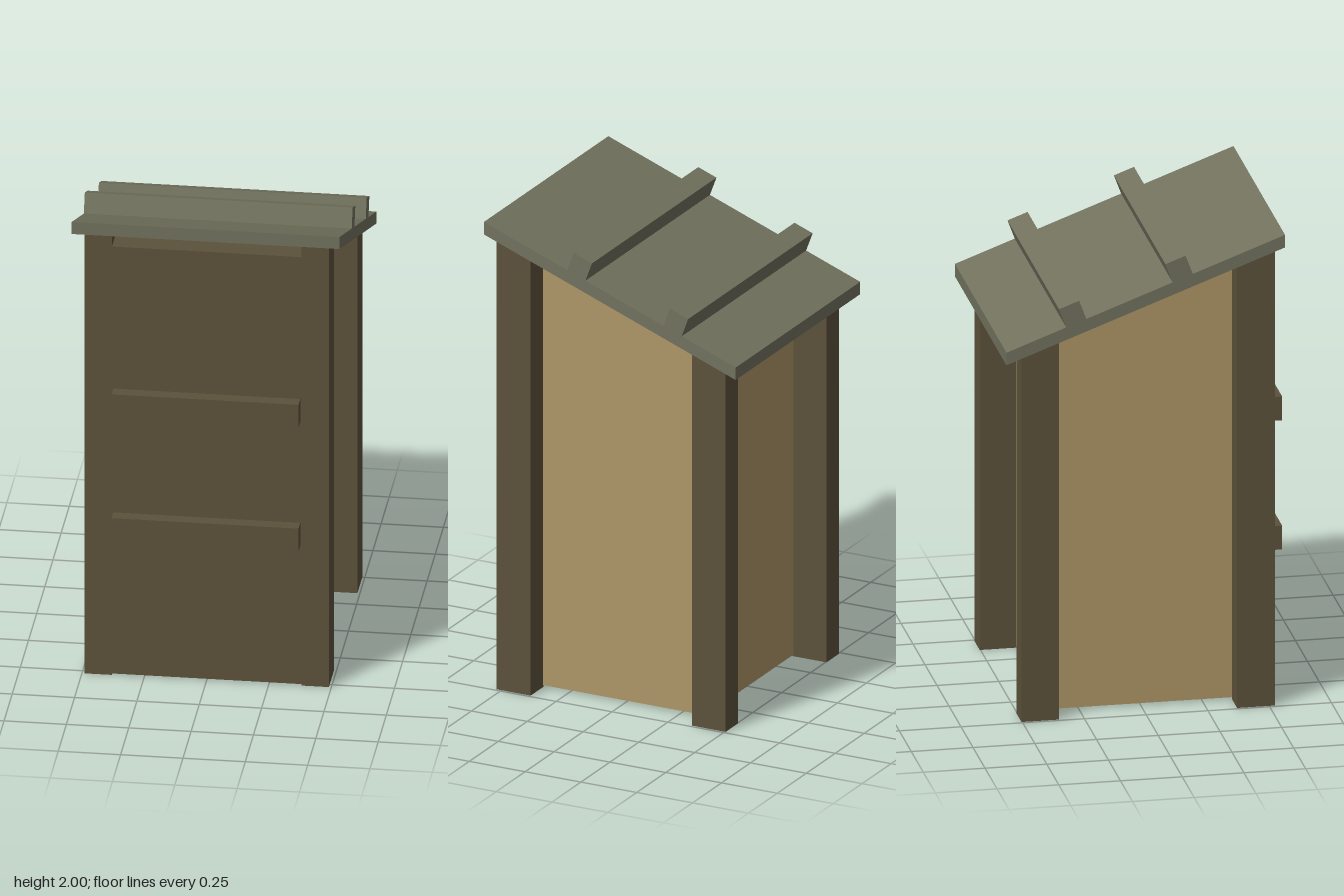
import * as THREE from 'three';

const SLOPE = 0.373;
const FRONT = 0.555, BACK = -0.573;
const THICK = 0.053;
const roofTop = (z) => 2 - SLOPE * (FRONT - z);
const roofUnder = (z) => roofTop(z) - THICK;

export function createModel() {
  const model = new THREE.Group();
  const darkWood = new THREE.MeshStandardMaterial({ color: 0x5c523b });
  const paleWood = new THREE.MeshStandardMaterial({ color: 0xae9668 });
  const roofWood = new THREE.MeshStandardMaterial({ color: 0x72725f });

  const add = (name, geometry, material) => {
    const mesh = new THREE.Mesh(geometry, material);
    mesh.name = name;
    model.add(mesh);
    return mesh;
  };

  // Prism with a side profile of [z, y] points, running from x0 to x1
  const prism = (name, profile, x0, x1, material) => {
    const shape = new THREE.Shape(profile.map(([z, y]) => new THREE.Vector2(z, y)));
    const geometry = new THREE.ExtrudeGeometry(shape, { depth: x1 - x0, bevelEnabled: false });
    geometry.rotateY(-Math.PI / 2).translate(x1, 0, 0);
    return add(name, geometry, material);
  };

  // Upright whose top is cut to the roof pitch
  const upright = (name, x0, x1, z0, z1, y0, material) =>
    prism(name, [[z0, y0], [z1, y0], [z1, roofUnder(z1)], [z0, roofUnder(z0)]], x0, x1, material);

  const box = (name, x0, x1, y0, y1, z0, z1, material) => {
    const geometry = new THREE.BoxGeometry(x1 - x0, y1 - y0, z1 - z0);
    geometry.translate((x0 + x1) / 2, (y0 + y1) / 2, (z0 + z1) / 2);
    return add(name, geometry, material);
  };

  // Corner posts and the thin side walls set at their inner corners
  for (const [side, s] of [['left', 1], ['right', -1]]) {
    const span = (a, b) => (s > 0 ? [a, b] : [-b, -a]);
    upright(side + 'FrontPost', ...span(0.38, 0.49), 0.37, 0.523, 0, darkWood);
    upright(side + 'BackPost', ...span(0.38, 0.49), -0.503, -0.352, 0, darkWood);
    upright(side + 'Wall', ...span(0.37, 0.382), -0.355, 0.372, 0.008, paleWood);
  }

  // Back wall
  upright('backWall', -0.382, 0.382, -0.357, -0.345, 0.008, paleWood);

  // Door, flush with the front posts, and its two cross rails
  box('door', -0.38, 0.38, 0.005, 1.885, 0.372, 0.52, darkWood);
  for (const y of [0.615, 1.16]) box('doorRail', -0.375, 0.375, y, y + 0.1, 0.515, 0.575, darkWood);

  // Sloping roof with plumb-cut ends
  prism('roof', [
    [BACK, roofUnder(BACK)], [FRONT, roofUnder(FRONT)],
    [FRONT, roofTop(FRONT)], [BACK, roofTop(BACK)],
  ], -0.537, 0.537, roofWood);

  // Battens lying square to the roof pitch
  for (const z of [0.128, -0.303]) {
    const batten = add('roofBatten', new THREE.BoxGeometry(1.074, 0.095, 0.087), roofWood);
    batten.position.set(0, roofTop(z) + 0.039, z);
    batten.rotation.x = -Math.atan(SLOPE);
  }

  return model;
}
